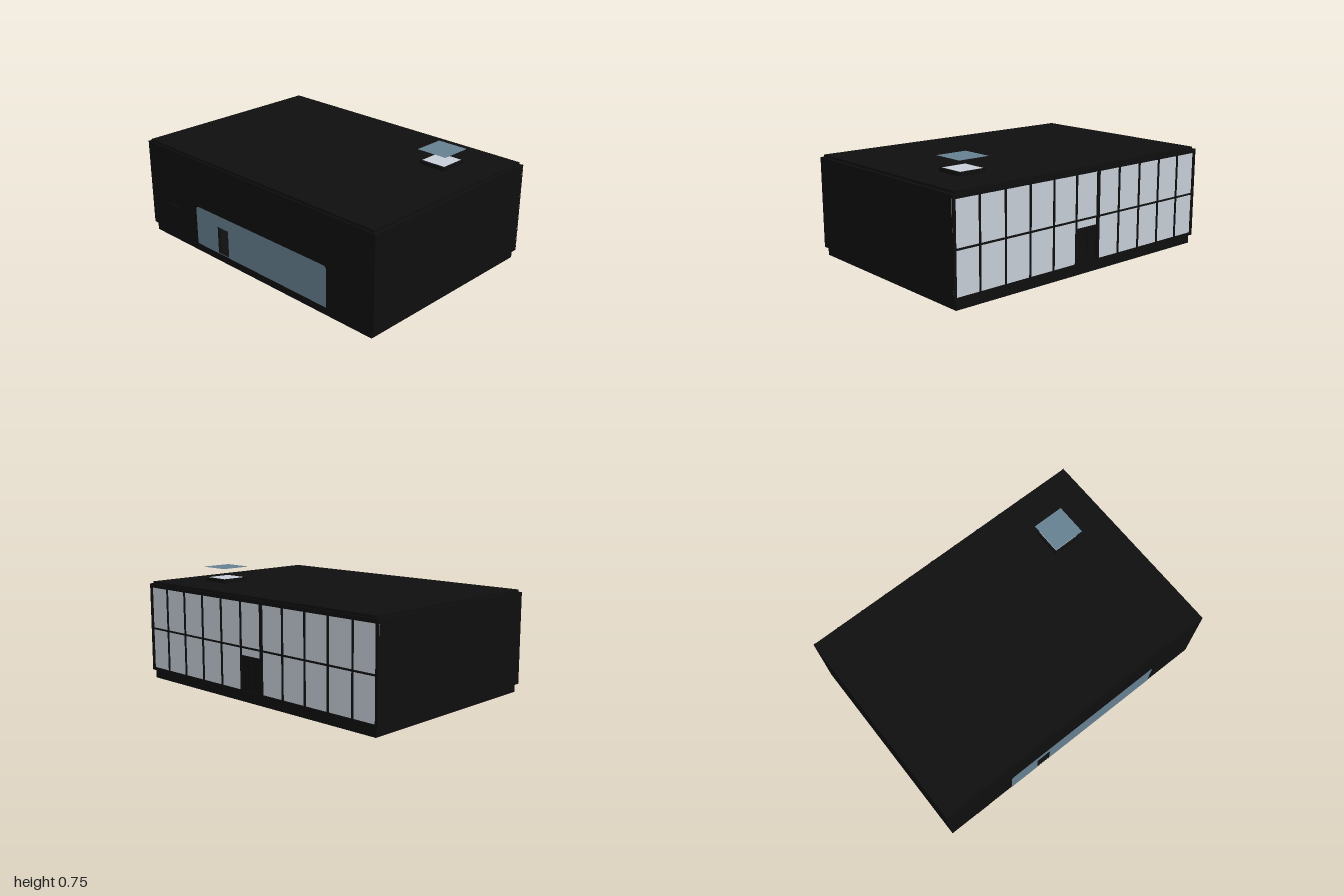
import * as THREE from 'three';

const mat = (name, color) => new THREE.MeshStandardMaterial({ name, color, side: THREE.DoubleSide });

export function createModel() {
  const house = new THREE.Group();
  house.name = 'house';
  const black = mat('blackCladding', 0x0e0e0e);
  const blue = mat('blueGlass', 0x668091);
  const pale = mat('paleGlass', 0xc6ced8);

  const add = (name, geometry, material) => {
    const mesh = new THREE.Mesh(geometry, material);
    mesh.name = name;
    house.add(mesh);
    return mesh;
  };
  // Box given by its extents on each axis
  const box = (name, m, x0, x1, y0, y1, z0, z1) => {
    const mesh = add(name, new THREE.BoxGeometry(x1 - x0, y1 - y0, z1 - z0), m);
    mesh.position.set((x0 + x1) / 2, (y0 + y1) / 2, (z0 + z1) / 2);
    return mesh;
  };
  const rect = (P, x0, x1, y0, y1) => {
    const p = new P();
    p.moveTo(x0, y0); p.lineTo(x1, y0); p.lineTo(x1, y1); p.lineTo(x0, y1); p.closePath();
    return p;
  };

  // Hollow shell: plinth, floor, side walls and roof
  box('groundSlab', black, -0.77, -0.11, 0, 0.006, -0.54, 0.04);
  box('plinth', black, -0.98, 0.98, 0.005, 0.06, -0.67, 0.67);
  box('floor', black, -1, 1, 0.06, 0.066, -0.68, 0.68);
  for (const s of [-1, 1]) {
    box('sideWall', black, s < 0 ? -1 : 0.98, s < 0 ? -0.98 : 1, 0.06, 0.645, -0.68, 0.68);
  }
  box('roof', black, -1, 1, 0.62, 0.645, -0.68, 0.68);
  box('roofCap', black, -0.98, 0.98, 0.645, 0.66, -0.67, 0.67);

  // Front wall with an open doorway and a slit above the side door
  const door = [-0.31, -0.21, 0.07, 0.25];
  const wall = rect(THREE.Shape, -1, 1, 0.06, 0.645);
  wall.holes.push(rect(THREE.Path, ...door), rect(THREE.Path, -0.8, -0.71, 0.253, 0.259));
  add('frontWall', new THREE.ExtrudeGeometry(wall, { depth: 0.02, bevelEnabled: false }), black)
    .position.z = 0.66;
  box('sideDoor', black, -0.8, -0.71, 0.066, 0.25, 0.68, 0.682);

  // Broad front glazing with rounded upper corners, cut for the doorway
  const [x0, x1, y0, y1, r] = [-0.52, 0.645, 0.064, 0.328, 0.03];
  const glazing = new THREE.Shape();
  glazing.moveTo(x0 + 0.01, y0);
  glazing.lineTo(x1 - 0.01, y0);
  glazing.quadraticCurveTo(x1, y0, x1, y0 + 0.01);
  glazing.lineTo(x1, y1 - r);
  glazing.quadraticCurveTo(x1, y1, x1 - r, y1);
  glazing.lineTo(x0 + r, y1);
  glazing.quadraticCurveTo(x0, y1, x0, y1 - r);
  glazing.lineTo(x0, y0 + 0.01);
  glazing.quadraticCurveTo(x0, y0, x0 + 0.01, y0);
  glazing.holes.push(rect(THREE.Path, ...door));
  add('frontGlazing', new THREE.ShapeGeometry(glazing), blue).position.z = 0.683;

  // Back curtain wall: two rows of eleven panes behind dark mullions
  const cols = 11, w = 2 / cols, doorCol = 5, mid = 0.345, doorTop = 0.29;
  for (let i = 0; i < cols; i++) {
    const a = -1 + i * w;
    box('upperPane', pale, a, a + w, mid, 0.625, -0.674, -0.67);
    box('lowerPane', pale, a, a + w, i === doorCol ? doorTop : 0.07, mid, -0.674, -0.67);
  }
  for (let i = 0; i <= cols; i++) {
    const x = THREE.MathUtils.clamp(-1 + i * w, -0.995, 0.995);
    const h = i === doorCol ? 0.011 : 0.005;
    box('mullion', black, x - h, x + h, 0.06, 0.645, -0.682, -0.66);
  }
  box('middleRail', black, -1, 1, mid - 0.005, mid + 0.005, -0.682, -0.66);
  box('bottomRail', black, -1, 1, 0.06, 0.078, -0.682, -0.66);
  // Double back door below its transom
  for (const s of [-1, 1]) {
    box('backDoorLeaf', black, s < 0 ? -0.089 : 0.003, s < 0 ? -0.003 : 0.089, 0.07, doorTop, -0.674, -0.668);
  }
  box('backDoorPost', black, -0.003, 0.003, 0.07, doorTop, -0.68, -0.666);
  box('backDoorHead', black, -w / 2, w / 2, doorTop - 0.005, doorTop + 0.005, -0.682, -0.66);

  // Skylight: curb, pale pane and a blue sheet floating above
  box('skylightCurb', black, 0.555, 0.745, 0.645, 0.683, -0.41, -0.22);
  const sheet = (name, size, y, m) => {
    const mesh = add(name, new THREE.PlaneGeometry(size, size).rotateX(-Math.PI / 2), m);
    mesh.position.set(0.65, y, -0.317);
  };
  sheet('skylightPane', 0.168, 0.685, pale);
  sheet('skylightCover', 0.212, 0.755, blue);
  return house;
}
